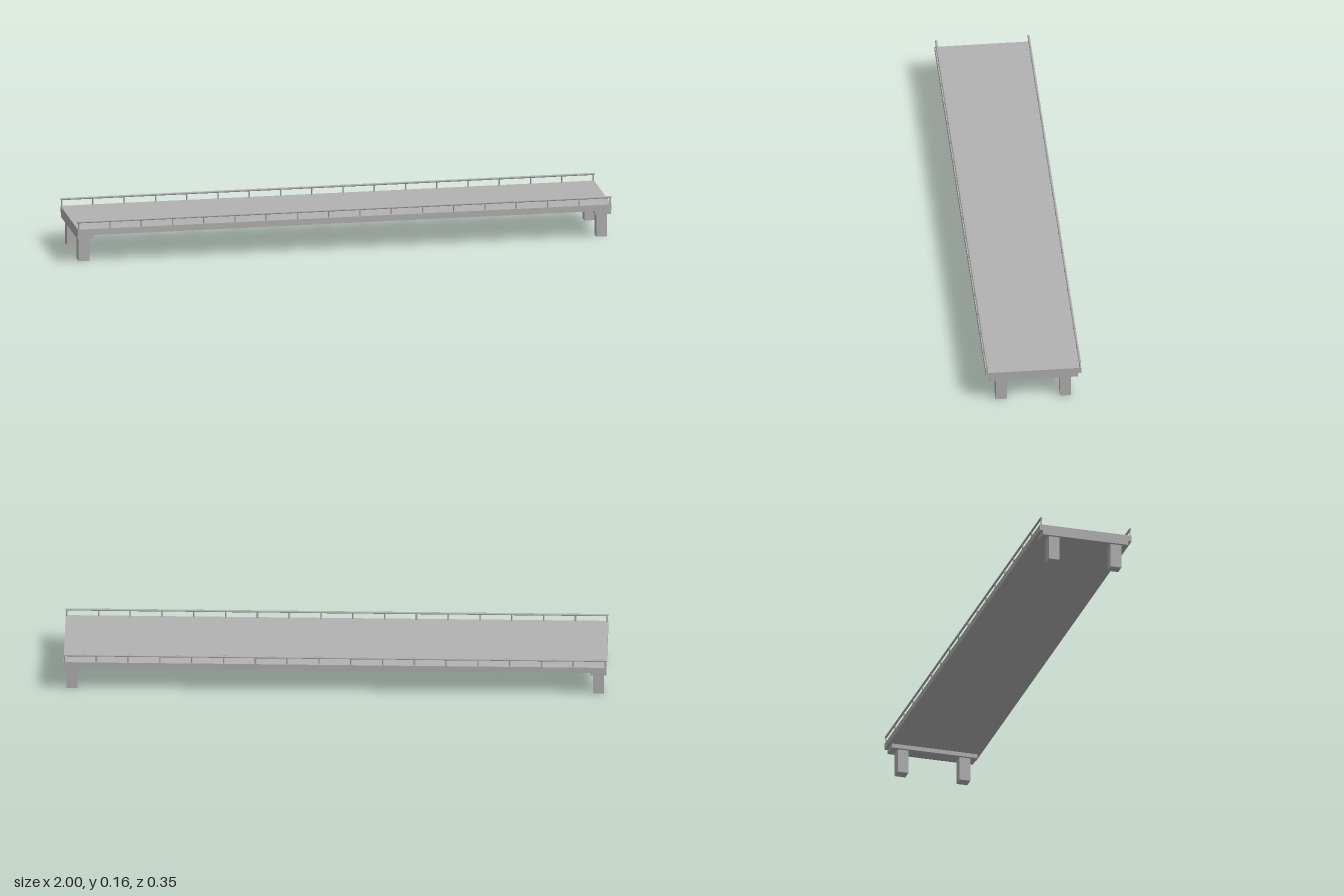
import * as THREE from 'three';

export function createModel() {
  const bridge = new THREE.Group();
  bridge.name = 'bridge';
  const concrete = new THREE.MeshStandardMaterial({ color: 0xb2b2b2 });
  concrete.name = 'concrete grey';

  function add(parent, name, geometry, x, y, z) {
    const mesh = new THREE.Mesh(geometry, concrete);
    mesh.name = name;
    mesh.position.set(x, y, z);
    parent.add(mesh);
    return mesh;
  }

  // Deck slab
  const deckTop = 0.13, deckBottom = 0.107, capBottom = 0.091;
  add(bridge, 'deck', new THREE.BoxGeometry(2, deckTop - deckBottom, 0.352),
    0, (deckTop + deckBottom) / 2, 0);

  // End supports: a cap beam on two square piers
  const capGeometry = new THREE.BoxGeometry(0.06, deckBottom - capBottom, 0.328);
  const pierGeometry = new THREE.BoxGeometry(0.041, capBottom, 0.041);
  for (const side of [-1, 1]) {
    const support = new THREE.Group();
    support.name = side > 0 ? 'leftSupport' : 'rightSupport';
    add(support, 'capBeam', capGeometry, side * 0.97, (deckBottom + capBottom) / 2, 0);
    for (const z of [-0.119, 0.119]) {
      add(support, 'pier', pierGeometry, side * 0.97, capBottom / 2, z);
    }
    bridge.add(support);
  }

  // Railings: evenly spaced slim posts under a rounded handrail
  const bays = 17, railY = 0.157, railZ = 0.171;
  const postGeometry = new THREE.CylinderGeometry(0.0028, 0.0028, railY - deckTop, 8);
  const railGeometry = new THREE.CylinderGeometry(0.0042, 0.0042, 2, 8);
  railGeometry.rotateX(Math.PI / 2).rotateY(Math.PI / 2);
  for (const side of [-1, 1]) {
    const railing = new THREE.Group();
    railing.name = side > 0 ? 'frontRailing' : 'backRailing';
    add(railing, 'handrail', railGeometry, 0, railY, side * railZ);
    for (let i = 0; i <= bays; i++) {
      add(railing, 'post', postGeometry,
        -0.996 + (1.992 * i) / bays, (railY + deckTop) / 2, side * railZ);
    }
    bridge.add(railing);
  }

  return bridge;
}
